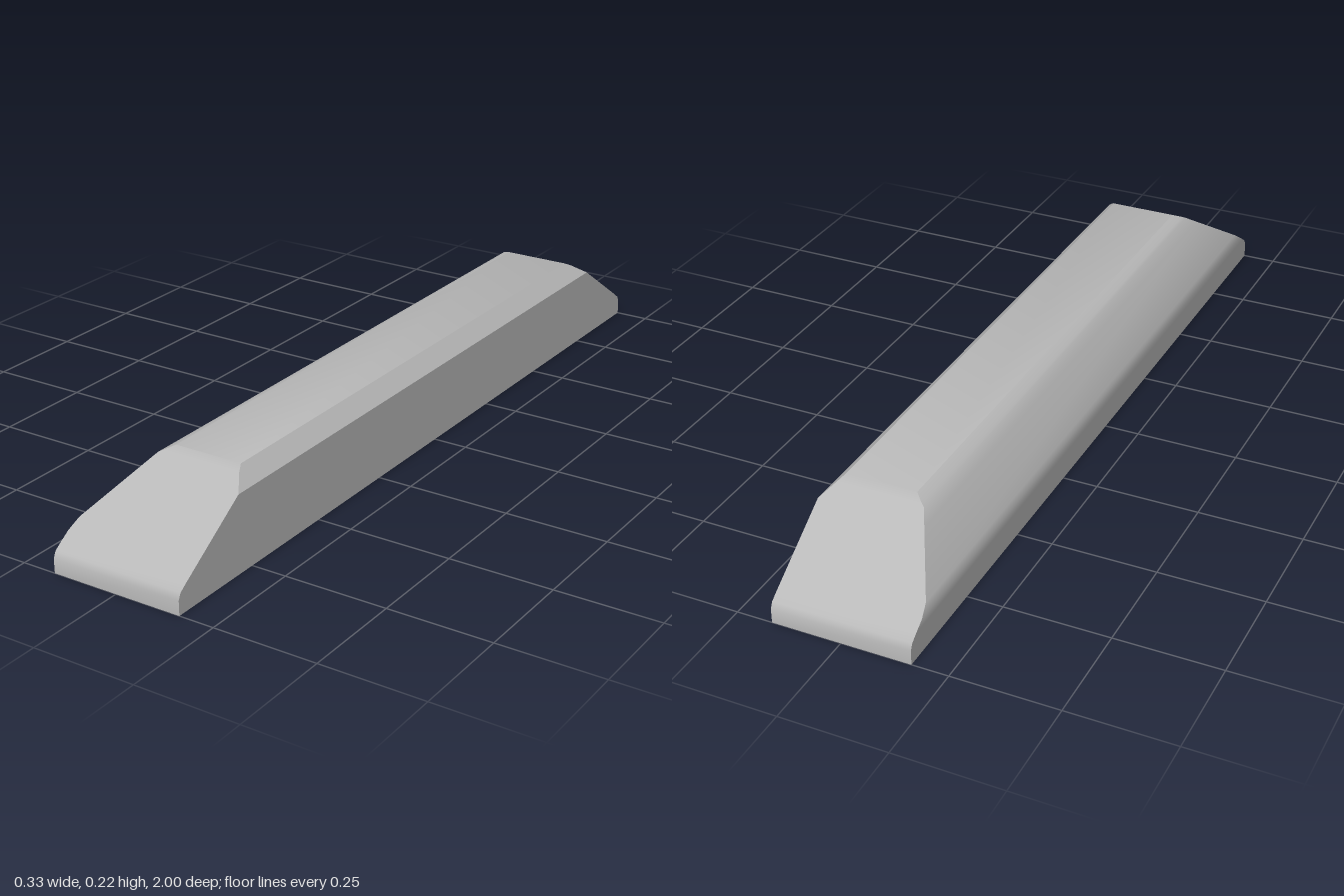
import * as THREE from 'three';
import { toCreasedNormals } from 'three/addons/utils/BufferGeometryUtils.js';

// Edge profiles as [y, distance from centre]
const leftEdge = [[0, 0.165], [0.185, 0.165], [0.222, 0.128]];
const rightEdge = [[0, -0.165], [0.08, -0.165], [0.1, -0.159], [0.208, -0.072], [0.222, -0.043]];
const endEdge = [[0, 1], [0.035, 1], [0.05, 0.993], [0.063, 0.975], [0.212, 0.75], [0.222, 0.73]];

// Linear interpolation along a profile
function at(profile, y) {
  for (let i = 1; i < profile.length; i++) {
    const [y0, v0] = profile[i - 1], [y1, v1] = profile[i];
    if (y <= y1) return v0 + (v1 - v0) * (y - y0) / (y1 - y0);
  }
  return profile[profile.length - 1][1];
}

// Stack of rectangular cross-sections, closed at top and bottom
function buildBlock() {
  const levels = [...new Set([...leftEdge, ...rightEdge, ...endEdge].map(p => p[0]))].sort((a, b) => a - b);
  const positions = [], index = [];
  for (const y of levels) {
    const l = at(leftEdge, y), r = at(rightEdge, y), z = at(endEdge, y);
    positions.push(l, y, z, l, y, -z, r, y, -z, r, y, z);
  }
  const quad = (a, b, c, d) => index.push(a, b, c, a, c, d);
  for (let k = 0; k < levels.length - 1; k++) {
    for (let i = 0; i < 4; i++) {
      const a = k * 4 + i, b = k * 4 + (i + 1) % 4;
      quad(a, b, b + 4, a + 4);
    }
  }
  const t = (levels.length - 1) * 4;
  quad(t, t + 1, t + 2, t + 3);
  quad(3, 2, 1, 0);
  const geometry = new THREE.BufferGeometry();
  geometry.setAttribute('position', new THREE.Float32BufferAttribute(positions, 3));
  geometry.setIndex(index);
  // Soft rounded edges, sharp corners and chamfer
  return toCreasedNormals(geometry, 0.6);
}

export function createModel() {
  const concrete = new THREE.MeshStandardMaterial({ color: 0xb8b8b8 });
  concrete.name = 'concrete grey';
  const block = new THREE.Mesh(buildBlock(), concrete);
  block.name = 'kerbBlock';
  const group = new THREE.Group();
  group.name = 'parkingKerb';
  group.add(block);
  return group;
}
